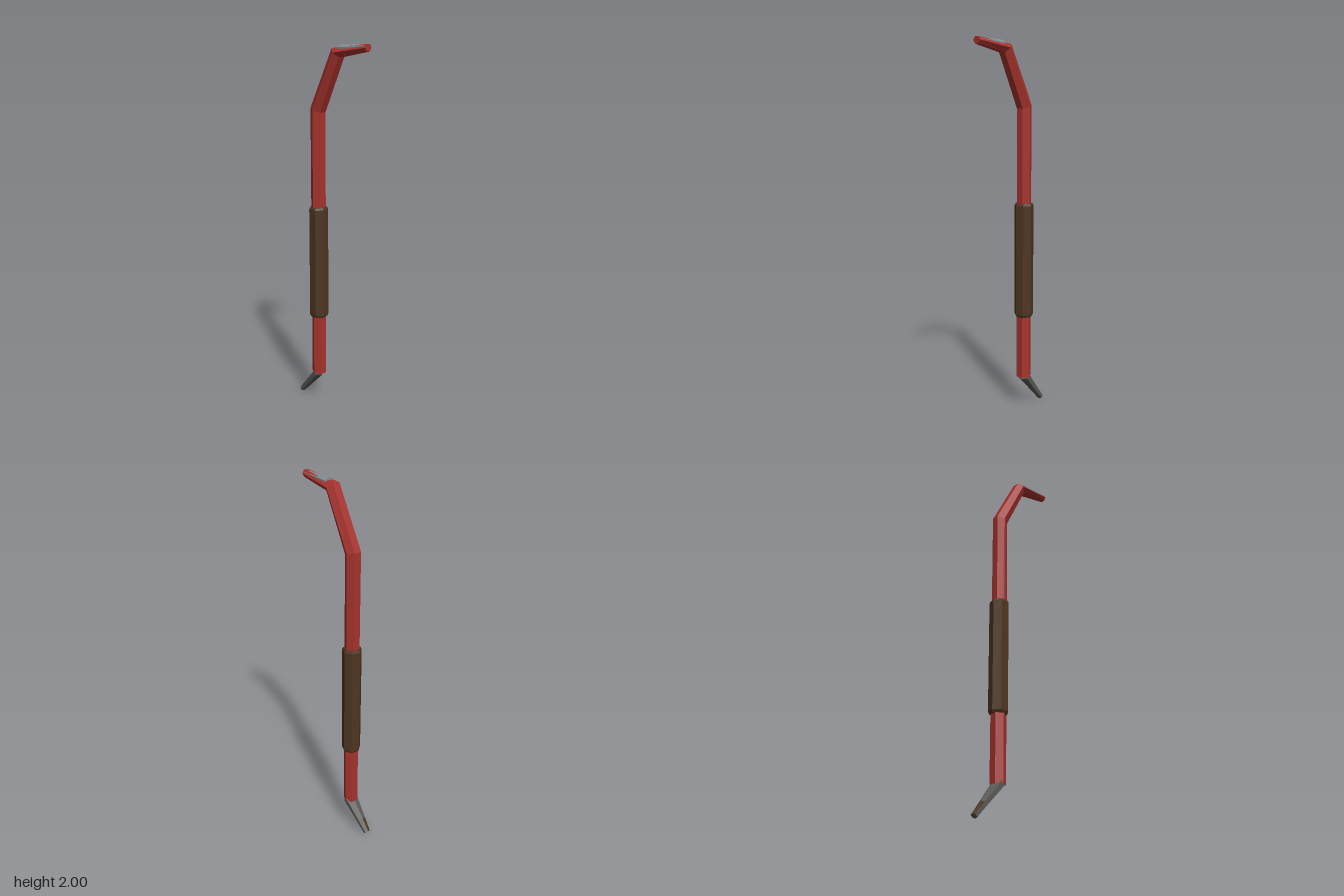
import * as THREE from 'three';

const material = (name, color) => new THREE.MeshStandardMaterial({ name, color, flatShading: true });

// Ring given by two opposite points [y, z] in the side plane and its half width in x.
function ring(outer, inner, halfWidth) {
  return {
    c: [(outer[0] + inner[0]) / 2, (outer[1] + inner[1]) / 2],
    n: [(outer[0] - inner[0]) / 2, (outer[1] - inner[1]) / 2],
    w: halfWidth,
  };
}

// Faceted bar through a list of rings, capped at both ends.
// materialOf(segment, facet) picks the material slot of each facet.
function loft(name, mats, rings, { sides = 6, turn = 0, sx = 1, sn = 1, materialOf = () => 0 } = {}) {
  const point = (r, i) => {
    const a = turn + (i / sides) * Math.PI * 2;
    const u = Math.sin(a) * sn;
    return [Math.cos(a) * r.w * sx, r.c[0] + r.n[0] * u, r.c[1] + r.n[1] * u];
  };
  const pos = [];
  const geo = new THREE.BufferGeometry();
  const add = (slot, ...pts) => {
    geo.addGroup(pos.length / 3, pts.length, slot);
    pts.forEach((p) => pos.push(...p));
  };
  for (let s = 0; s < rings.length - 1; s++) {
    for (let i = 0; i < sides; i++) {
      const a = point(rings[s], i), b = point(rings[s], i + 1);
      const c = point(rings[s + 1], i + 1), d = point(rings[s + 1], i);
      add(materialOf(s, i), a, b, c, a, c, d);
    }
  }
  const first = rings[0], last = rings[rings.length - 1];
  for (let i = 1; i < sides - 1; i++) {
    add(0, point(first, 0), point(first, i + 1), point(first, i));
    add(0, point(last, 0), point(last, i), point(last, i + 1));
  }
  geo.setAttribute('position', new THREE.Float32BufferAttribute(pos, 3));
  geo.computeVertexNormals();
  const mesh = new THREE.Mesh(geo, mats);
  mesh.name = name;
  return mesh;
}

export function createModel() {
  const red = material('red paint', 0xa8332e);
  const brown = material('brown grip', 0x4e3622);
  const darkSteel = material('dark steel', 0x5c5b58);
  const paleSteel = material('pale steel', 0x858b92);

  const FLAT = 1 / Math.cos(Math.PI / 6);
  const flatUp = { sn: FLAT };                         // flats face front and back
  const ridgeUp = { turn: Math.PI / 6, sx: FLAT };     // edges face front and back
  const shaftZ = -0.095;

  const group = new THREE.Group();
  group.name = 'pryBar';

  // Bent hexagonal bar with a tapering head
  group.add(loft('shaft', [red], [
    ring([0.18, -0.13], [0.18, -0.06], 0.04),
    ring([1.675, -0.13], [1.655, -0.06], 0.04),
    ring([1.976, 0.025], [1.934, 0.073], 0.04),
    ring([2.0, 0.249], [1.965, 0.249], 0.0225),
  ], flatUp));

  // Seven-sided sleeve with small bevels
  const sleeve = (y, r) => ring([y, shaftZ - r], [y, shaftZ + r], r);
  group.add(loft('grip', [brown], [
    sleeve(0.528, 0.046), sleeve(0.54, 0.052), sleeve(1.143, 0.052), sleeve(1.155, 0.046),
  ], { sides: 7 }));

  // Steel insert rising out of the head
  group.add(loft('headInsert', [paleSteel], [
    ring([1.995, 0.073], [1.937, 0.073], 0.026),
    ring([1.9985, 0.24], [1.967, 0.24], 0.0185),
  ], ridgeUp));

  // Lower claw, with a worn patch near the tip
  const lower = [[0.167, -0.07], [0.005, -0.225]];
  const upper = [[0.202, -0.113], [0.028, -0.248]];
  const mix = (p, t) => [0, 1].map((k) => p[0][k] + (p[1][k] - p[0][k]) * t);
  group.add(loft('claw', [darkSteel, brown], [0, 0.64, 1].map((t) =>
    ring(mix(lower, t), mix(upper, t), 0.038 - 0.0215 * t)),
  { ...ridgeUp, materialOf: (s, i) => (s === 1 && i === 3 ? 1 : 0) }));

  group.children.forEach((m) => { m.position.x = -0.003; });
  return group;
}
